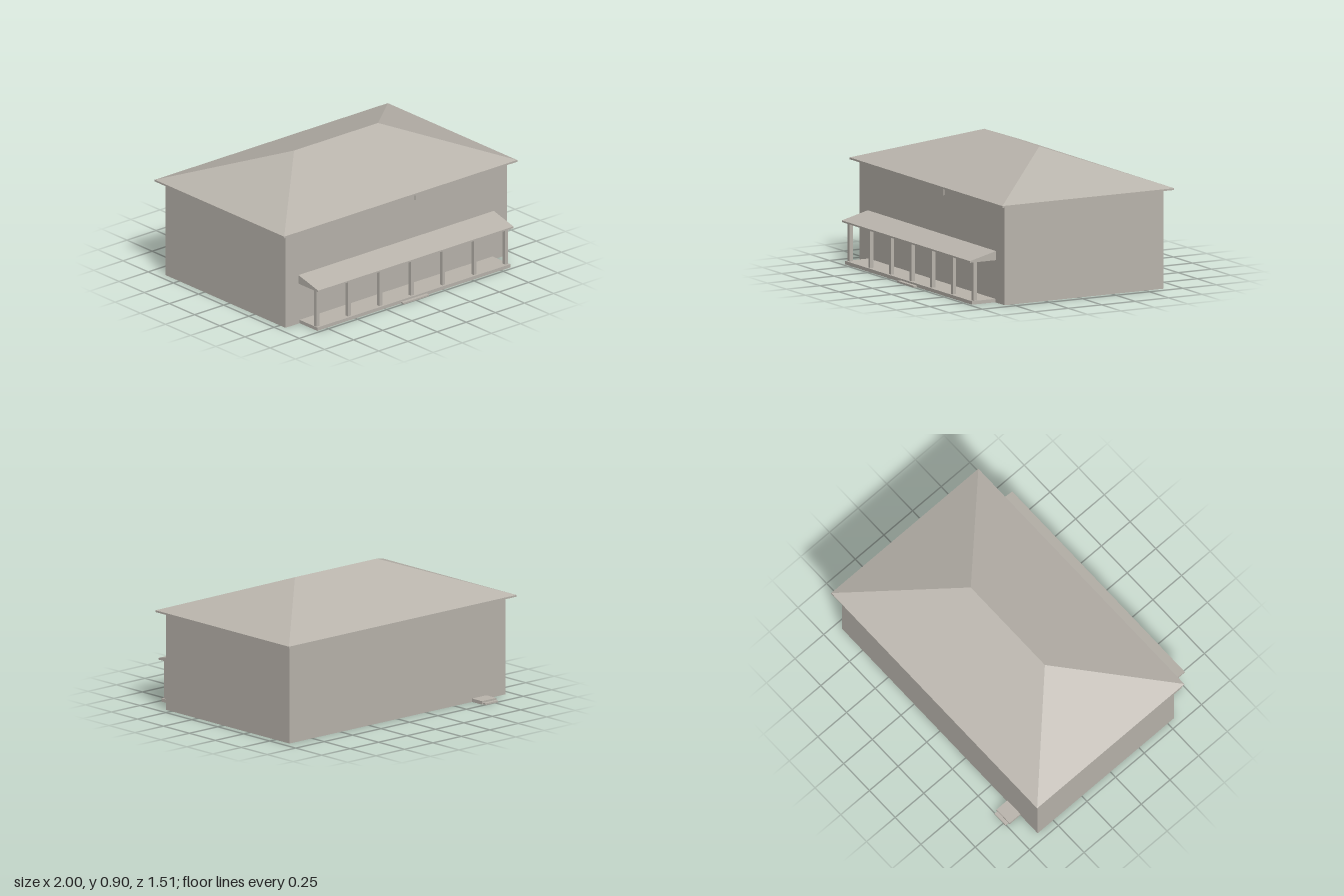
import * as THREE from 'three';

const stone = new THREE.MeshStandardMaterial({ color: 0xb9b4ac, side: THREE.DoubleSide });
stone.name = 'warm grey';

// Flat-faced mesh from convex polygons, corners counter-clockwise from outside
function faces(name, polygons) {
  const pos = [];
  for (const p of polygons) {
    for (let i = 1; i < p.length - 1; i++) pos.push(...p[0], ...p[i], ...p[i + 1]);
  }
  const g = new THREE.BufferGeometry();
  g.setAttribute('position', new THREE.Float32BufferAttribute(pos, 3));
  g.computeVertexNormals();
  const m = new THREE.Mesh(g, stone);
  m.name = name;
  return m;
}

// Box given by its limits
function box(name, x0, x1, y0, y1, z0, z1) {
  const m = new THREE.Mesh(new THREE.BoxGeometry(x1 - x0, y1 - y0, z1 - z0), stone);
  m.position.set((x0 + x1) / 2, (y0 + y1) / 2, (z0 + z1) / 2);
  m.name = name;
  return m;
}

// Rectangle corners at height y, counter-clockwise seen from above
const ring = (x, y, zFront, zBack) => [[-x, y, zFront], [x, y, zFront], [x, y, zBack], [-x, y, zBack]];

// Band of quads joining two rings
const band = (lower, upper) => lower.map((p, i) => {
  const j = (i + 1) % lower.length;
  return [p, lower[j], upper[j], upper[i]];
});

export function createModel() {
  const house = new THREE.Group();
  house.name = 'house';
  const W = 0.95, ZF = 0.555, ZB = -0.635, EAVE = 0.655;

  // Hollow walls, open at the bottom; the front has a slot behind the porch roof
  const walls = band(ring(W, 0, ZF, ZB), ring(W, EAVE, ZF, ZB));
  house.add(faces('sideAndBackWalls', walls.slice(1)));
  const front = new THREE.Shape([[-W, 0], [W, 0], [W, EAVE], [-W, EAVE]].map(p => new THREE.Vector2(...p)));
  front.holes.push(new THREE.Path([[-0.838, 0.28], [-0.838, 0.34], [0.838, 0.34], [0.838, 0.28]].map(p => new THREE.Vector2(...p))));
  const frontWall = new THREE.Mesh(new THREE.ShapeGeometry(front), stone);
  frontWall.position.z = ZF;
  frontWall.name = 'frontWall';
  house.add(frontWall);

  // Hipped roof with fascia and soffit
  const eaveLow = ring(1, EAVE, 0.6, -0.685);
  const eaveTop = ring(1, 0.667, 0.6, -0.685);
  const [fl, fr, br, bl] = eaveTop;
  const ridgeL = [-0.36, 0.9, -0.042], ridgeR = [0.36, 0.9, -0.042];
  house.add(faces('hipRoof', [
    [fl, fr, ridgeR, ridgeL],
    [fr, br, ridgeR],
    [br, bl, ridgeL, ridgeR],
    [bl, fl, ridgeL],
  ]));
  house.add(faces('fascia', band(eaveLow, eaveTop)));
  house.add(faces('soffit', band(ring(W, EAVE, ZF, ZB), eaveLow)));

  // Small bracket under the front eave
  house.add(box('eaveBracket', 0.158, 0.162, 0.6, EAVE, ZF, 0.563));

  // Porch: slab, step, posts and lean-to roof
  const porch = new THREE.Group();
  porch.name = 'porch';
  porch.add(box('porchFloor', -0.828, 0.828, 0, 0.023, ZF, 0.73));
  porch.add(box('frontStep', -0.11, 0.11, 0, 0.011, 0.73, 0.755));
  for (let i = -3; i <= 3; i++) {
    const x = i * 0.27;
    porch.add(box('porchPost', x - 0.0125, x + 0.0125, 0.023, 0.28, 0.69, 0.715));
  }
  const end = x => [[x, 0.28, ZF], [x, 0.28, 0.75], [x, 0.291, 0.75], [x, 0.34, ZF]];
  const L = end(-0.838), R = end(0.838);
  porch.add(faces('porchRoof', [
    L,
    [...R].reverse(),
    [L[0], R[0], R[1], L[1]],
    [L[1], R[1], R[2], L[2]],
    [L[2], R[2], R[3], L[3]],
  ]));
  house.add(porch);

  // Back steps
  house.add(box('backStepUpper', -0.782, -0.655, 0, 0.023, -0.73, ZB));
  house.add(box('backStepLower', -0.772, -0.665, 0, 0.011, -0.755, -0.73));
  return house;
}
